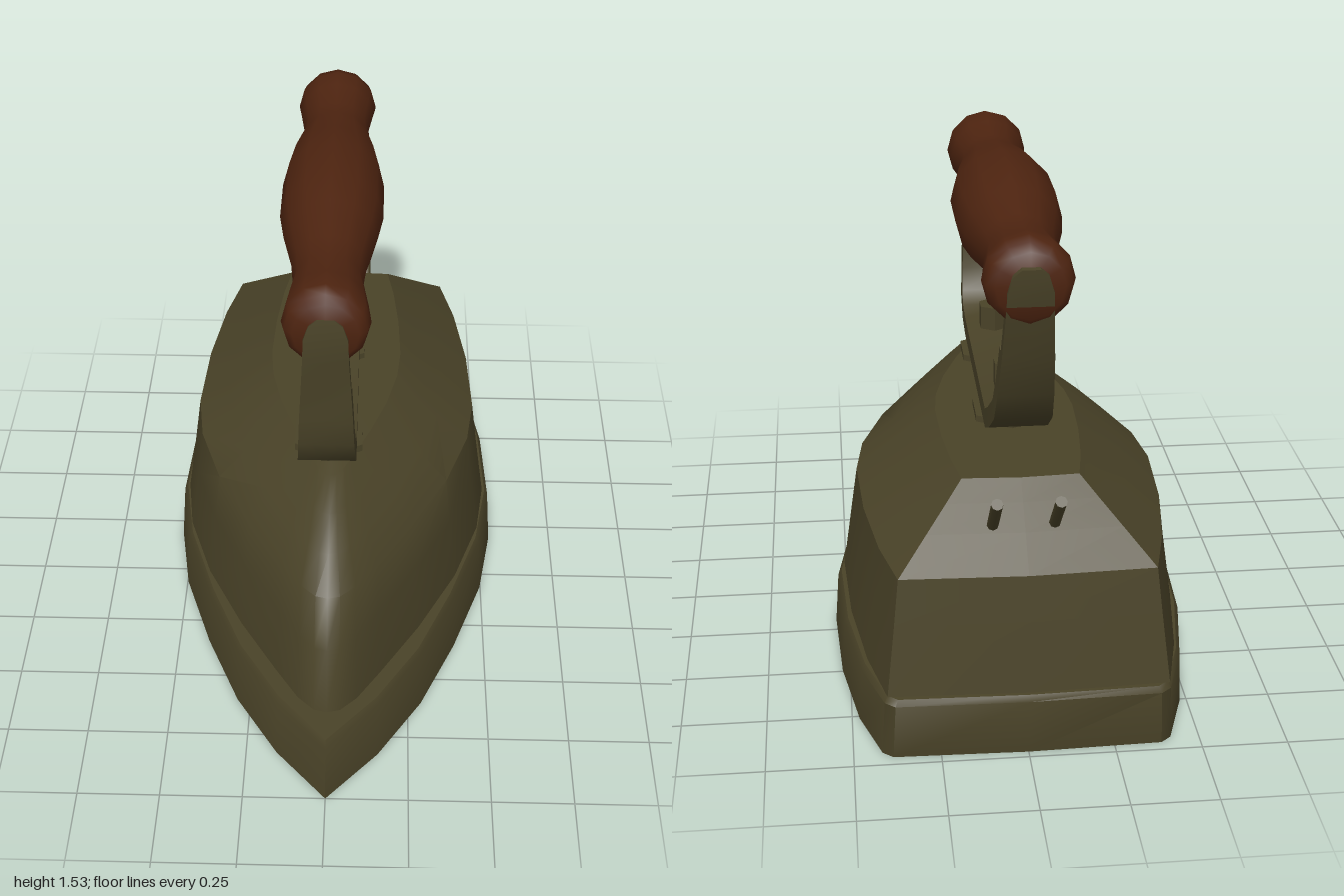
import * as THREE from 'three';
import { toCreasedNormals } from 'three/addons/utils/BufferGeometryUtils.js';

const iron = new THREE.MeshStandardMaterial({ color: 0x4a4328 });
iron.name = 'dark olive iron';
const wood = new THREE.MeshStandardMaterial({ color: 0x4e2410 });
wood.name = 'brown wood';

const CENTRE_X = -0.01; // the handle assembly sits very slightly off centre

function add(group, name, geometry, material = iron) {
  const mesh = new THREE.Mesh(geometry, material);
  mesh.name = name;
  group.add(mesh);
  return mesh;
}

// Closed solid through rings of equal length, capped at both ends
function loft(rings, crease = 0.62) {
  const pos = [];
  const tri = (...corners) => corners.forEach((p) => pos.push(p.x, p.y, p.z));
  const n = rings[0].length;
  const middle = (ring) => ring.reduce((s, p) => s.add(p), new THREE.Vector3()).divideScalar(n);
  for (let r = 0; r < rings.length - 1; r++) {
    const a = rings[r], b = rings[r + 1];
    for (let i = 0; i < n; i++) {
      const j = (i + 1) % n;
      tri(a[i], a[j], b[j]);
      tri(a[i], b[j], b[i]);
    }
  }
  const first = rings[0], last = rings[rings.length - 1];
  const c0 = middle(first), c1 = middle(last);
  for (let i = 0; i < n; i++) {
    const j = (i + 1) % n;
    tri(c0, first[j], first[i]);
    tri(c1, last[i], last[j]);
  }
  const geometry = new THREE.BufferGeometry();
  geometry.setAttribute('position', new THREE.Float32BufferAttribute(pos, 3));
  return toCreasedNormals(geometry, crease);
}

// Full horizontal ring from half an outline, rescaled to a front, half width and back
function outlineRing(half, y, front, width, back) {
  const z0 = half[0][1], z1 = half[half.length - 1][1];
  const w = Math.max(...half.map((p) => p[0]));
  const right = half.map(([x, z]) => new THREE.Vector3(
    (x / w) * width, y, front + ((z0 - z) / (z0 - z1)) * (back - front)));
  const left = right.slice(1, -1).reverse().map((p) => new THREE.Vector3(-p.x, p.y, p.z));
  return [...right, ...left];
}

// Flat strap along [z, y, half width] points, filling the inward offsets d0 to d1
function strap(path, d0, d1) {
  const rings = path.map(([z, y, w], i) => {
    const p = path[Math.max(i - 1, 0)], q = path[Math.min(i + 1, path.length - 1)];
    const dz = q[0] - p[0], dy = q[1] - p[1], len = Math.hypot(dz, dy);
    const nz = dy / len, ny = -dz / len;
    const at = (x, d) => new THREE.Vector3(CENTRE_X + x, y + ny * d, z + nz * d);
    return [at(w, d0), at(-w, d0), at(-w, d1), at(w, d1)];
  });
  return loft(rings);
}

export function createModel() {
  const model = new THREE.Group();
  model.name = 'flatIron';

  // Sole plate with a pointed toe
  const sole = [[0, 1], [0.155, 0.82], [0.29, 0.6], [0.4, 0.34], [0.495, 0.055], [0.535, -0.2],
    [0.52, -0.51], [0.475, -0.78], [0.415, -0.96], [0.385, -0.985], [0, -0.995]];
  add(model, 'solePlate', loft([
    outlineRing(sole, 0.005, 1.0, 0.538, -0.975),
    outlineRing(sole, 0.185, 0.962, 0.526, -0.995),
    outlineRing(sole, 0.203, 0.945, 0.515, -0.985),
  ]));

  // Domed body: steep walls, then a wide bevel up to the flat top
  const body = [[0, 0.85], [0.04, 0.84], [0.09, 0.79], [0.16, 0.68], [0.28, 0.48], [0.4, 0.24],
    [0.48, 0], [0.505, -0.2], [0.49, -0.5], [0.45, -0.78], [0.4, -0.985], [0, -1]];
  const levels = [
    [0.22, 0.85, 0.505, -1.0], [0.43, 0.8, 0.475, -0.97], [0.565, 0.72, 0.457, -0.95],
    [0.65, 0.62, 0.35, -0.855], [0.71, 0.51, 0.274, -0.787], [0.76, 0.39, 0.212, -0.73],
  ];
  add(model, 'body', loft(levels.map((l) => outlineRing(body, ...l))));

  // Handle bracket: a full outer strap and a shorter inner layer
  const inner = [[0.506, 1.15, 0.073], [0.503, 1.06, 0.078], [0.49, 0.96, 0.082], [0.45, 0.87, 0.086],
    [0.38, 0.815, 0.087], [0.28, 0.797, 0.087], [-0.45, 0.79, 0.087], [-0.56, 0.84, 0.086],
    [-0.69, 0.925, 0.083], [-0.75, 1.02, 0.079], [-0.805, 1.15, 0.073]];
  const outer = [[0.524, 1.425, 0.025], [0.526, 1.405, 0.048], [0.529, 1.36, 0.063], [0.526, 1.28, 0.066],
    ...inner, [-0.84, 1.28, 0.066], [-0.86, 1.36, 0.063], [-0.866, 1.41, 0.048], [-0.868, 1.43, 0.025]];
  add(model, 'handleBracket', strap(outer, 0, 0.034));
  add(model, 'bracketInnerLayer', strap(inner, 0.034, 0.06));

  // Turned wooden grip
  const profile = [[0, -0.52], [0.095, -0.52], [0.118, -0.5], [0.127, -0.46], [0.118, -0.38], [0.102, -0.27],
    [0.11, -0.18], [0.14, -0.03], [0.157, 0.09], [0.157, 0.28], [0.14, 0.41], [0.108, 0.56],
    [0.105, 0.63], [0.118, 0.73], [0.127, 0.79], [0.118, 0.83], [0.095, 0.85], [0, 0.85]];
  const grip = new THREE.LatheGeometry(profile.map(([r, h]) => new THREE.Vector2(r, h)), 12);
  grip.rotateX(-Math.PI / 2);
  const handle = add(model, 'woodenGrip', toCreasedNormals(grip.toNonIndexed(), 0.8), wood);
  handle.position.set(CENTRE_X, 1.378, 0);

  // Bolts with washers
  for (const [name, z] of [['front', 0.2], ['back', -0.28]]) {
    const hex = (part, r, y0, y1) => {
      const g = new THREE.CylinderGeometry(r, r, y1 - y0, 6);
      const mesh = add(model, name + part, toCreasedNormals(g.toNonIndexed(), 0.5));
      mesh.position.set(CENTRE_X, (y0 + y1) / 2, z);
    };
    hex('Bolt', 0.05, 0.855, 0.932);
    hex('BoltShank', 0.022, 0.75, 0.86);
    hex('Washer', 0.12, 0.755, 0.78);
  }

  // Two slanted terminal pins on the rear bevel
  for (const [name, x] of [['rightPin', -0.085], ['leftPin', 0.09]]) {
    const pin = add(model, name, new THREE.CylinderGeometry(0.017, 0.017, 0.23, 8));
    pin.rotation.x = -Math.PI / 4;
    pin.position.set(x, 0.715, -0.88);
  }
  return model;
}
